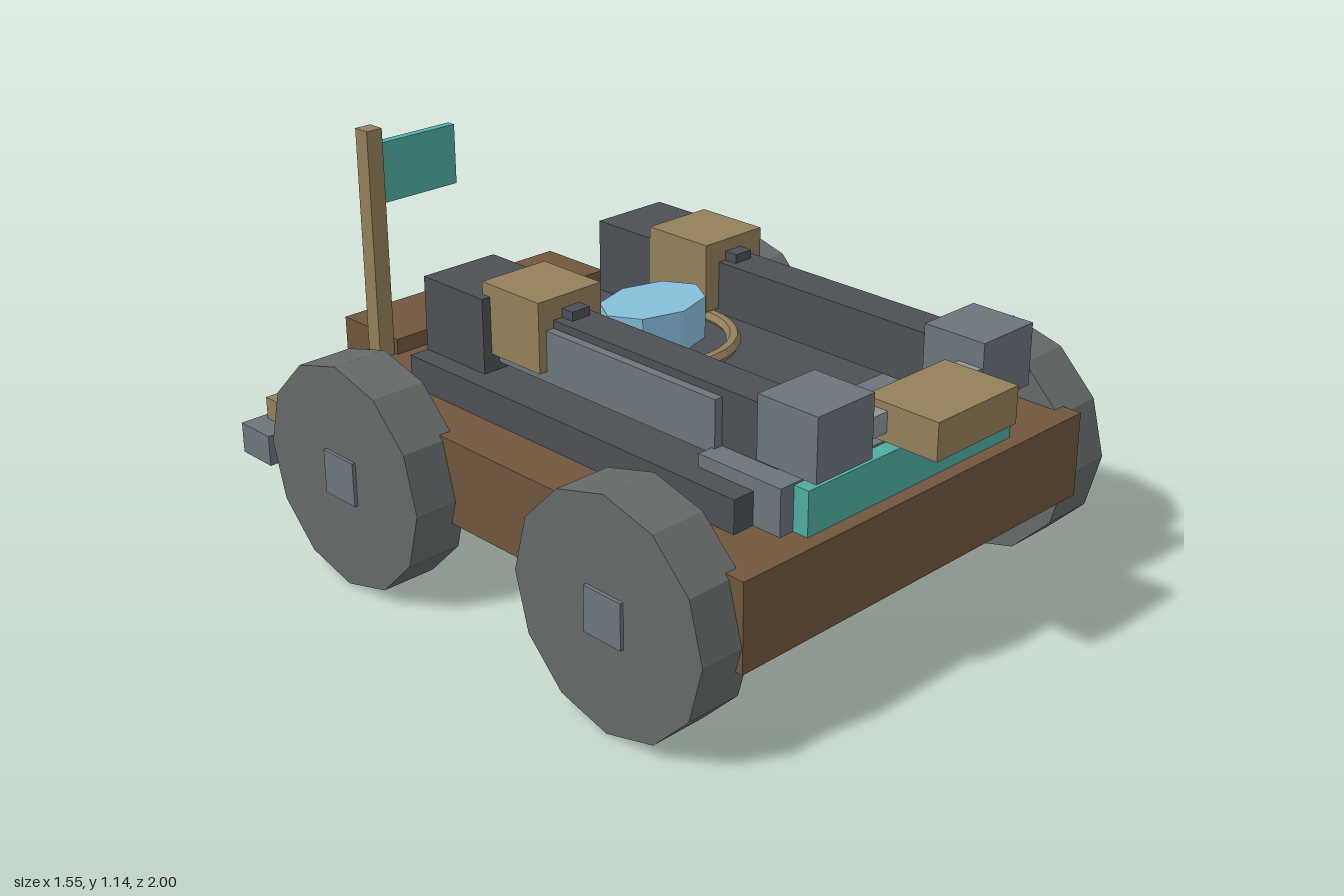
import * as THREE from 'three';

const mat = (color) => new THREE.MeshStandardMaterial({ color, flatShading: true });
const BROWN = mat(0x6f563d), TAN = mat(0x94805a), DARK = mat(0x4c5156), GREY = mat(0x6b757c);
const LIGHT = mat(0x8d9597), TYRE = mat(0x646a69), TEAL = mat(0x4eac9f), BLUE = mat(0x87bfdc);

export function createModel() {
  const model = new THREE.Group();
  model.name = 'buggy';

  const add = (name, geometry, material, x, y, z) => {
    const mesh = new THREE.Mesh(geometry, material);
    mesh.name = name;
    mesh.position.set(x, y, z);
    model.add(mesh);
    return mesh;
  };
  // Box given by its extents along each axis
  const box = (name, material, [x0, x1], [y0, y1], [z0, z1]) =>
    add(name, new THREE.BoxGeometry(x1 - x0, y1 - y0, z1 - z0), material,
      (x0 + x1) / 2, (y0 + y1) / 2, (z0 + z1) / 2);
  // The same box on the left and right sides
  const pair = (name, material, [x0, x1], y, z) => {
    box(name + 'Left', material, [x0, x1], y, z);
    box(name + 'Right', material, [-x1, -x0], y, z);
  };

  // Body
  box('chassis', BROWN, [-0.64, 0.64], [0.25, 0.49], [-0.8, 0.86]);
  box('deck', DARK, [-0.495, 0.495], [0.49, 0.58], [-0.51, 0.69]);
  box('noseBlock', GREY, [-0.43, 0.43], [0.49, 0.615], [0.51, 0.775]);
  box('nosePanel', TEAL, [-0.385, 0.385], [0.49, 0.61], [0.77, 0.82]);

  // Twelve-sided wheels with square hubs
  for (const side of [1, -1]) {
    for (const z of [0.54, -0.475]) {
      const wheel = add('wheel', new THREE.CylinderGeometry(0.317, 0.317, 0.16, 12), TYRE, side * 0.685, 0.32, z);
      wheel.rotation.z = Math.PI / 2;
      add('hub', new THREE.BoxGeometry(0.1, 0.125, 0.125), GREY, side * 0.725, 0.322, z);
    }
  }

  // Arms running forward from the shoulders to the fists
  pair('arm', DARK, [0.245, 0.36], [0.615, 0.765], [-0.1, 0.7]);
  pair('armRail', GREY, [0.355, 0.385], [0.6, 0.743], [-0.27, 0.52]);
  pair('armPeg', DARK, [0.27, 0.33], [0.76, 0.79], [-0.12, -0.04]);
  pair('shoulder', TAN, [0.195, 0.41], [0.63, 0.825], [-0.3, -0.08]);
  pair('rearBlock', DARK, [0.197, 0.437], [0.58, 0.79], [-0.51, -0.27]);
  pair('rearBlockPanel', TAN, [0.245, 0.39], [0.615, 0.755], [-0.52, -0.5]);
  pair('fist', GREY, [0.205, 0.4], [0.643, 0.812], [0.67, 0.855]);
  box('crossBar', LIGHT, [-0.21, 0.21], [0.69, 0.745], [0.78, 0.85]);
  box('ram', TAN, [-0.15, 0.15], [0.665, 0.765], [0.78, 1.0]);

  // Turret ring with a faceted dome
  add('turretBase', new THREE.CylinderGeometry(0.215, 0.215, 0.025, 24), DARK, 0, 0.59, -0.09);
  const ring = add('turretRing', new THREE.TorusGeometry(0.22, 0.02, 6, 28), TAN, 0, 0.61, -0.09);
  ring.rotation.x = Math.PI / 2;
  const dome = add('turretCrystal', new THREE.CylinderGeometry(0.165, 0.165, 0.14, 8), BLUE, 0, 0.65, -0.088);
  dome.scale.z = 0.71;

  // Tail crate, bumper and rear feet
  box('crate', BROWN, [-0.39, 0.39], [0.435, 0.535], [-0.95, -0.71]);
  box('rearBumper', GREY, [-0.435, 0.435], [0.28, 0.41], [-0.81, -0.78]);
  pair('rearBracket', TAN, [0.56, 0.66], [0.26, 0.36], [-0.975, -0.78]);
  pair('rearFoot', GREY, [0.49, 0.73], [0.205, 0.295], [-1.0, -0.87]);

  // Flag
  box('flagPole', TAN, [-0.445, -0.395], [0.49, 1.145], [-0.767, -0.717]);
  box('flag', TEAL, [-0.4, -0.14], [0.93, 1.1], [-0.755, -0.73]);

  return model;
}
